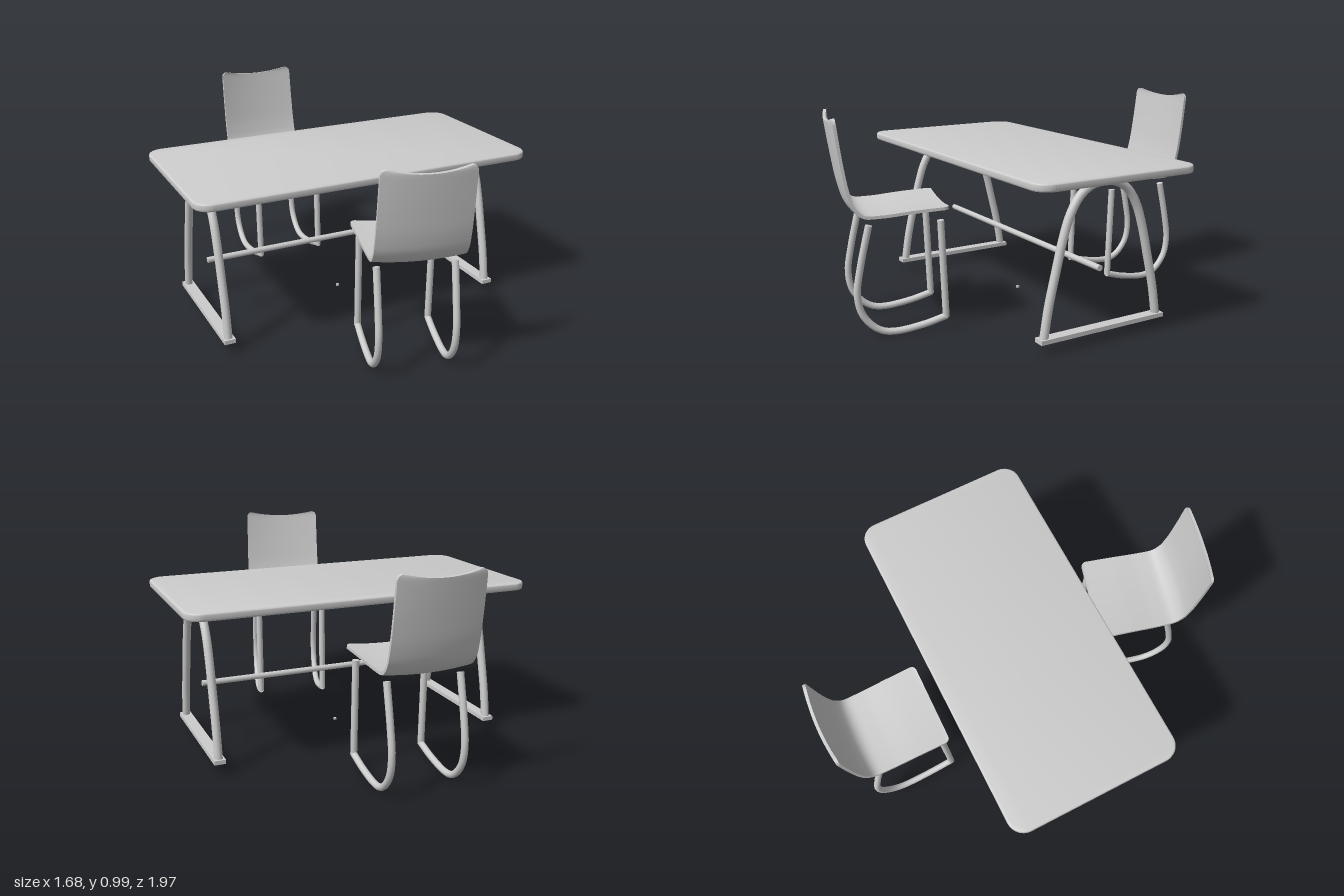
import * as THREE from 'three';
import { mergeGeometries, toCreasedNormals } from 'three/addons/utils/BufferGeometryUtils.js';

const grey = new THREE.MeshStandardMaterial({ color: 0xcccccc });
grey.name = 'grey';

function addMesh(parent, name, geometry, x = 0, y = 0, z = 0) {
  const mesh = new THREE.Mesh(geometry, grey);
  mesh.name = name;
  mesh.position.set(x, y, z);
  parent.add(mesh);
  return mesh;
}

// Round tube with closed ends through [z, y] points in the plane x = 0
function rod(points, radius, segments) {
  const curve = new THREE.CatmullRomCurve3(points.map(([z, y]) => new THREE.Vector3(0, y, z)));
  const parts = [new THREE.TubeGeometry(curve, segments, radius, 12)];
  for (const t of [0, 1]) {
    const dir = curve.getTangent(t).multiplyScalar(t ? 1 : -1);
    const turn = new THREE.Quaternion().setFromUnitVectors(new THREE.Vector3(0, 0, 1), dir);
    const end = curve.getPoint(t);
    parts.push(new THREE.CircleGeometry(radius, 12).applyQuaternion(turn).translate(end.x, end.y, end.z));
  }
  return mergeGeometries(parts);
}

// One bent sheet forming seat and backrest, dished across its width
function shellGeometry() {
  const profile = new THREE.CatmullRomCurve3([
    [0.255, 0.566], [0.1, 0.557], [-0.05, 0.545], [-0.13, 0.55],
    [-0.175, 0.595], [-0.2, 0.67], [-0.222, 0.79], [-0.248, 0.987],
  ].map(([z, y]) => new THREE.Vector3(0, y, z)));
  const length = profile.getLength();
  const corner = 0.025, thick = 0.014, cols = 16, ring = 2 * (cols + 1);

  // Extra rows close to both ends round the corners
  const ends = [0, 0.001, 0.003, 0.007, 0.012, 0.018, 0.025];
  const rows = ends.map(d => d / length);
  for (let i = 1; i < 40; i++) rows.push(0.03 + 0.94 * i / 40);
  rows.push(...ends.map(d => 1 - d / length).reverse());

  const pos = [], index = [];
  for (const t of rows) {
    const p = profile.getPointAt(t), tan = profile.getTangentAt(t);
    const d = Math.min(corner, t * length, (1 - t) * length);
    const inset = corner - Math.sqrt(corner ** 2 - (corner - d) ** 2);
    const half = THREE.MathUtils.lerp(0.21, 0.199, t) - inset;
    const dish = THREE.MathUtils.lerp(0.012, 0.016, t);
    const dip = 0.02 * THREE.MathUtils.smoothstep(t, 0.75, 1);
    for (let k = 0; k < ring; k++) {
      const under = k > cols;
      const u = (under ? ring - 1 - k : k) / cols * 2 - 1;
      const lift = dish * u * u + (under ? -thick / 2 : thick / 2);
      pos.push(u * half, p.y - tan.z * lift - dip * (1 - u * u), p.z + tan.y * lift);
    }
  }
  for (let r = 0; r < rows.length - 1; r++) {
    for (let k = 0; k < ring; k++) {
      const a = r * ring + k, b = r * ring + (k + 1) % ring;
      index.push(a, b, a + ring, b, b + ring, a + ring);
    }
  }
  const last = (rows.length - 1) * ring;
  for (let k = 0; k < cols; k++) {
    const a = k, b = k + 1, c = ring - 2 - k, d = ring - 1 - k;
    index.push(d, c, b, d, b, a);
    index.push(last + d, last + b, last + c, last + d, last + a, last + b);
  }
  const geometry = new THREE.BufferGeometry();
  geometry.setAttribute('position', new THREE.Float32BufferAttribute(pos, 3));
  geometry.setIndex(index);
  return toCreasedNormals(geometry, 0.7);
}

function createChair(name, x, z, angle) {
  const chair = new THREE.Group();
  chair.name = name;
  addMesh(chair, 'seatShell', shellGeometry());

  const frontLeg = rod([[0.22, 0.517], [0.237, 0.06]], 0.016, 1);
  const rearLoop = rod([
    [0.24, 0.065], [0.138, 0.036], [0.01, 0.017], [-0.05, 0.024], [-0.1, 0.055],
    [-0.146, 0.12], [-0.161, 0.21], [-0.143, 0.33], [-0.1, 0.517],
  ], 0.016, 40);
  for (const side of [-1, 1]) {
    const label = side > 0 ? 'left' : 'right';
    addMesh(chair, label + 'FrontLeg', frontLeg, side * 0.172);
    addMesh(chair, label + 'RearLoop', rearLoop, side * 0.172);
  }
  chair.position.set(x, 0, z);
  chair.rotation.y = angle;
  return chair;
}

function createTable() {
  const table = new THREE.Group();
  table.name = 'table';

  // Rounded rectangular top with softened rim
  const bevel = 0.008, w = 0.84 - bevel, h = 0.42 - bevel, r = 0.072;
  const outline = new THREE.Shape();
  outline.absarc(w - r, h - r, r, 0, Math.PI / 2);
  outline.absarc(-w + r, h - r, r, Math.PI / 2, Math.PI);
  outline.absarc(-w + r, -h + r, r, Math.PI, Math.PI * 1.5);
  outline.absarc(w - r, -h + r, r, Math.PI * 1.5, Math.PI * 2);
  const top = new THREE.ExtrudeGeometry(outline, {
    depth: 0.02, bevelSize: bevel, bevelThickness: bevel, bevelSegments: 3, curveSegments: 10,
  });
  top.rotateX(-Math.PI / 2);
  addMesh(table, 'tableTop', toCreasedNormals(top, 0.6), 0, 0.736 + bevel, 0);

  // Arched end frames, each closed by a floor bar
  const halfArch = [[0.308, 0.06], [0.285, 0.2], [0.25, 0.35], [0.212, 0.5], [0.176, 0.6], [0.125, 0.675], [0.065, 0.712]];
  const arch = rod([...halfArch, [0, 0.72], ...halfArch.map(([z, y]) => [-z, y]).reverse()], 0.02, 56);
  for (const side of [-1, 1]) {
    const label = side > 0 ? 'left' : 'right';
    addMesh(table, label + 'ArchLeg', arch, side * 0.7);
    addMesh(table, label + 'FloorBar', new THREE.BoxGeometry(0.054, 0.02, 0.67), side * 0.7, 0.06, 0);
  }

  // Long stretcher and the small stud below it
  const stretcher = new THREE.CylinderGeometry(0.014, 0.014, 1.37, 12).rotateZ(Math.PI / 2);
  addMesh(table, 'stretcher', stretcher, 0, 0.327, 0.003);
  addMesh(table, 'stud', new THREE.BoxGeometry(0.012, 0.01, 0.012), 0, 0.046, 0.003);

  table.position.z = -0.019;
  return table;
}

export function createModel() {
  const model = new THREE.Group();
  model.name = 'tableWithChairs';
  model.add(createTable());
  model.add(createChair('backChair', -0.055, -0.742, -0.018));
  model.add(createChair('frontChair', -0.001, 0.696, Math.PI - 0.25));
  return model;
}
